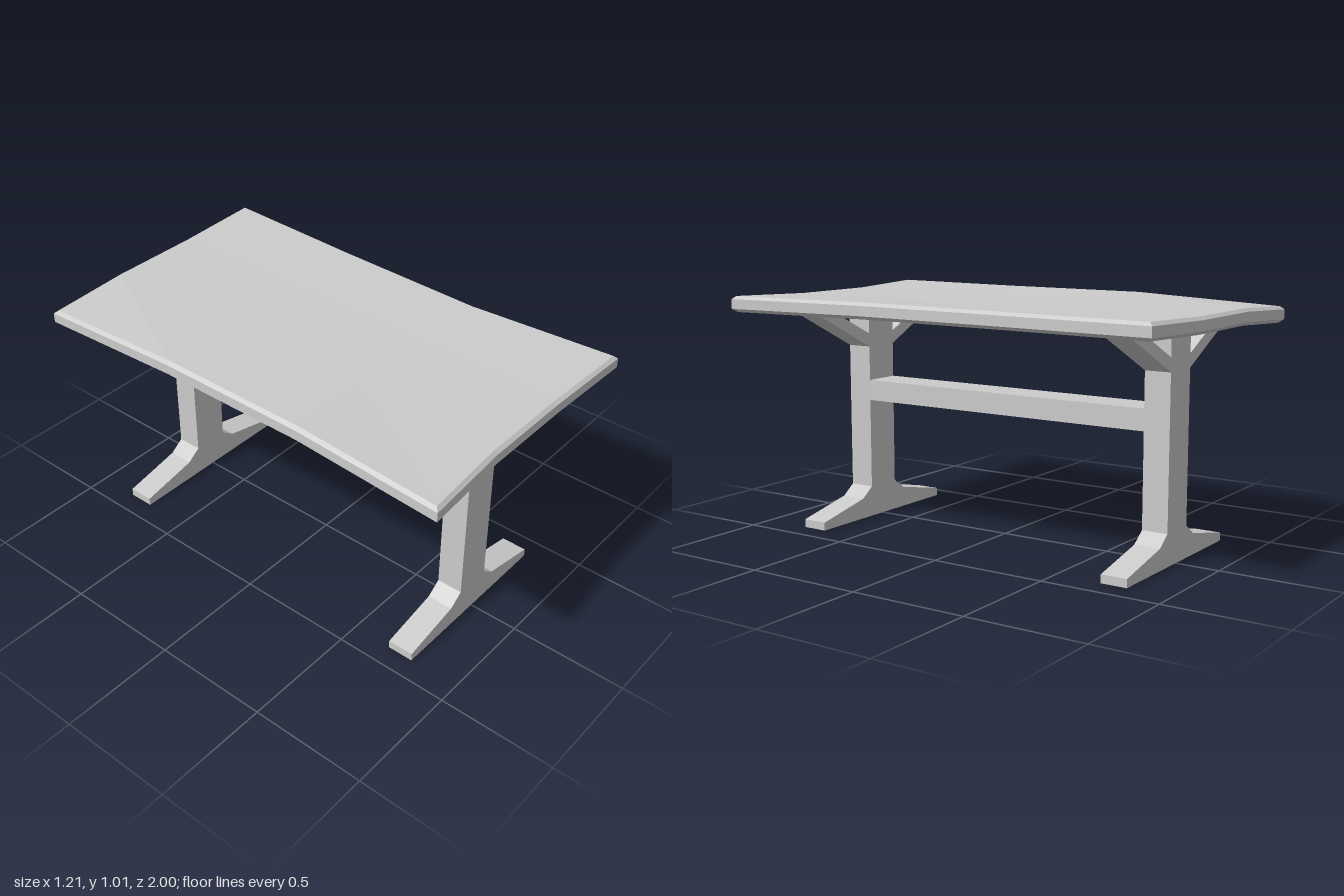
import * as THREE from 'three';

const material = new THREE.MeshStandardMaterial({ color: 0xcccccc, flatShading: true, side: THREE.DoubleSide });

// Warped slab: a 4 x 4 grid of stations with chamfered rims.
function tabletopGeometry() {
  const leftX = [-0.605, -0.565, -0.565, -0.567];
  const rightX = [0.603, 0.553, 0.568, 0.595];
  const frontZ = [0.995, 0.96, 0.96, 0.98];
  const midZ = [0, 0.33, -0.33, 0];

  // i runs left to right, j runs front to back
  const node = (i, j, inset, drop) => {
    let x = i === 0 ? leftX[j] + inset : i === 3 ? rightX[j] - inset : i === 1 ? -0.2 : 0.2;
    let z = j === 0 ? frontZ[i] - inset : j === 3 ? -1 + inset : midZ[j];
    let y = i === 0 || i === 3 ? 1.015 : 1.003;
    if (i === 0 && j === 3) y -= 0.03; // sagging corner
    return [x, y - drop, z];
  };

  const positions = [];
  const quad = (a, b, c, d) => positions.push(...a, ...b, ...c, ...a, ...c, ...d);
  const rings = [[0.015, 0], [0, 0.013], [0, 0.054], [0.018, 0.068]]; // inset, drop
  const [top, bottom] = [rings[0], rings[3]];

  // Upper and lower surfaces
  for (let i = 0; i < 3; i++) {
    for (let j = 0; j < 3; j++) {
      quad(node(i, j, ...top), node(i + 1, j, ...top), node(i + 1, j + 1, ...top), node(i, j + 1, ...top));
      quad(node(i, j + 1, ...bottom), node(i + 1, j + 1, ...bottom), node(i + 1, j, ...bottom), node(i, j, ...bottom));
    }
  }

  // Chamfers and edge band around the perimeter
  const rim = [];
  for (let k = 0; k < 3; k++) rim.push([k, 0]);
  for (let k = 0; k < 3; k++) rim.push([3, k]);
  for (let k = 3; k > 0; k--) rim.push([k, 3]);
  for (let k = 3; k > 0; k--) rim.push([0, k]);
  for (let r = 0; r < 3; r++) {
    rim.forEach((p, k) => {
      const q = rim[(k + 1) % rim.length];
      quad(node(...p, ...rings[r + 1]), node(...q, ...rings[r + 1]), node(...q, ...rings[r]), node(...p, ...rings[r]));
    });
  }

  const geometry = new THREE.BufferGeometry();
  geometry.setAttribute('position', new THREE.Float32BufferAttribute(positions, 3));
  geometry.computeVertexNormals();
  return geometry;
}

// Flat profile extruded along z, centred on z = 0
function slab(points, depth) {
  const shape = new THREE.Shape(points.map(([x, y]) => new THREE.Vector2(x, y)));
  return new THREE.ExtrudeGeometry(shape, { depth, bevelEnabled: false }).translate(0, 0, -depth / 2);
}

export function createModel() {
  const model = new THREE.Group();
  const add = (name, geometry, z = 0) => {
    const mesh = new THREE.Mesh(geometry, material);
    mesh.name = name;
    mesh.position.z = z;
    model.add(mesh);
  };

  add('tabletop', tabletopGeometry());

  // Trestle: spread foot, post and two slanted braces in one profile
  const trestle = slab([
    [-0.41, 0], [0.398, 0], [0.398, 0.035], [0.138, 0.09], [0.076, 0.135],
    [0.076, 0.77], [0.42, 0.942], [0.31, 0.942], [0.076, 0.828], [0.076, 0.942],
    [-0.088, 0.942], [-0.088, 0.828], [-0.322, 0.942], [-0.432, 0.942], [-0.088, 0.77],
    [-0.088, 0.135], [-0.15, 0.09], [-0.41, 0.035],
  ], 0.112);
  add('frontTrestle', trestle, 0.73);
  add('backTrestle', trestle, -0.757);

  // Stretcher joining the two posts
  add('stretcher', new THREE.BoxGeometry(0.164, 0.09, 1.375).translate(-0.006, 0.575, -0.0135));

  return model;
}
